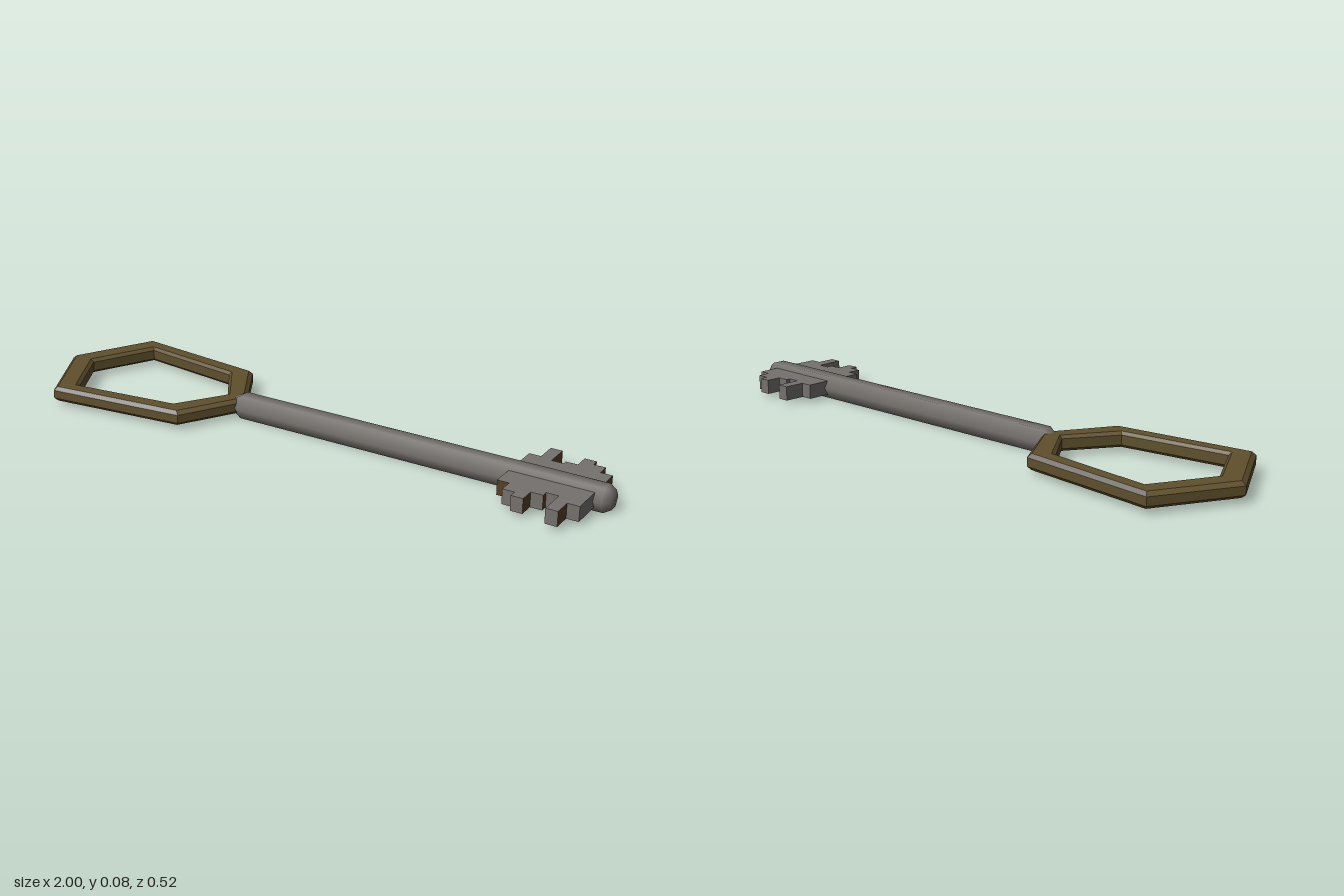
import * as THREE from 'three';

const steel = new THREE.MeshStandardMaterial({ color: 0x75716d });
const brass = new THREE.MeshStandardMaterial({ color: 0x5f502c });
const rust = new THREE.MeshStandardMaterial({ color: 0x573f24 });
steel.name = 'steel';
brass.name = 'agedBrass';
rust.name = 'rust';

const MID = 0.038; // height of the key's centre line

// Six-sided handle ring with a chamfered section, swept between two outlines
function makeBow() {
  const outer = [[-1, 0], [-0.86, 0.262], [-0.39, 0.21], [-0.27, 0], [-0.39, -0.21], [-0.86, -0.262]];
  const inner = [[-0.91, 0], [-0.805, 0.2], [-0.45, 0.155], [-0.345, 0], [-0.45, -0.155], [-0.805, -0.2]];
  // (blend from outer to inner outline, height)
  const section = [[0, 0.025], [0, 0.052], [0.17, 0.064], [0.87, 0.064],
    [1, 0.054], [1, 0.023], [0.87, 0.014], [0.17, 0.014]];
  const point = (i, j) => {
    const o = outer[i % 6], n = inner[i % 6], [t, y] = section[j % 8];
    return [o[0] + (n[0] - o[0]) * t, y, o[1] + (n[1] - o[1]) * t];
  };
  const positions = [];
  const geometry = new THREE.BufferGeometry();
  for (let i = 0; i < 6; i++) {
    for (let j = 0; j < 8; j++) {
      const a = point(i, j), b = point(i + 1, j), c = point(i + 1, j + 1), d = point(i, j + 1);
      // worn upper chamfer along the two long sides
      const worn = j === 1 && (i === 1 || i === 4);
      geometry.addGroup(positions.length / 3, 6, worn ? 1 : 0);
      positions.push(...a, ...b, ...c, ...a, ...c, ...d);
    }
  }
  geometry.setAttribute('position', new THREE.Float32BufferAttribute(positions, 3));
  geometry.computeVertexNormals();
  const bow = new THREE.Mesh(geometry, [brass, steel]);
  bow.name = 'bow';
  return bow;
}

// Hexagonal shaft with smooth shading and tapered ends
function makeShaft() {
  const profile = [[0, -0.33], [0.018, -0.325], [0.044, -0.28], [0.044, 0.3],
    [0.044, 0.975], [0.03, 0.997], [0, 1]].map(([r, x]) => new THREE.Vector2(r, x));
  const shaft = new THREE.Mesh(new THREE.LatheGeometry(profile, 6), steel);
  shaft.rotation.z = -Math.PI / 2;
  shaft.position.y = MID;
  shaft.name = 'shaft';
  return shaft;
}

// Stepped bit: one column per step on both sides of the shaft
function makeBit() {
  const bit = new THREE.Group();
  bit.name = 'bit';
  const front = [0.105, 0.15, 0.175, 0.125, 0.105, 0.195, 0.135];
  const rear = [0.11, 0.18, 0.1, 0.115, 0.165, 0.14, 0.1];
  const start = 0.68, width = 0.27 / 7;
  [front, rear].forEach((lengths, side) => {
    lengths.forEach((length, i) => {
      const sign = side ? -1 : 1;
      const endFace = side || i < 6 ? rust : steel;
      const tipFace = !side && i === 0 ? rust : steel;
      const tooth = new THREE.Mesh(
        new THREE.BoxGeometry(width, 0.048, length),
        [endFace, steel, steel, steel, tipFace, steel]);
      tooth.position.set(start + width * (i + 0.5), MID, sign * length / 2);
      tooth.name = side ? 'rearTooth' : 'frontTooth';
      bit.add(tooth);
    });
  });
  return bit;
}

export function createModel() {
  const key = new THREE.Group();
  key.name = 'key';
  key.add(makeBow(), makeShaft(), makeBit());
  return key;
}
